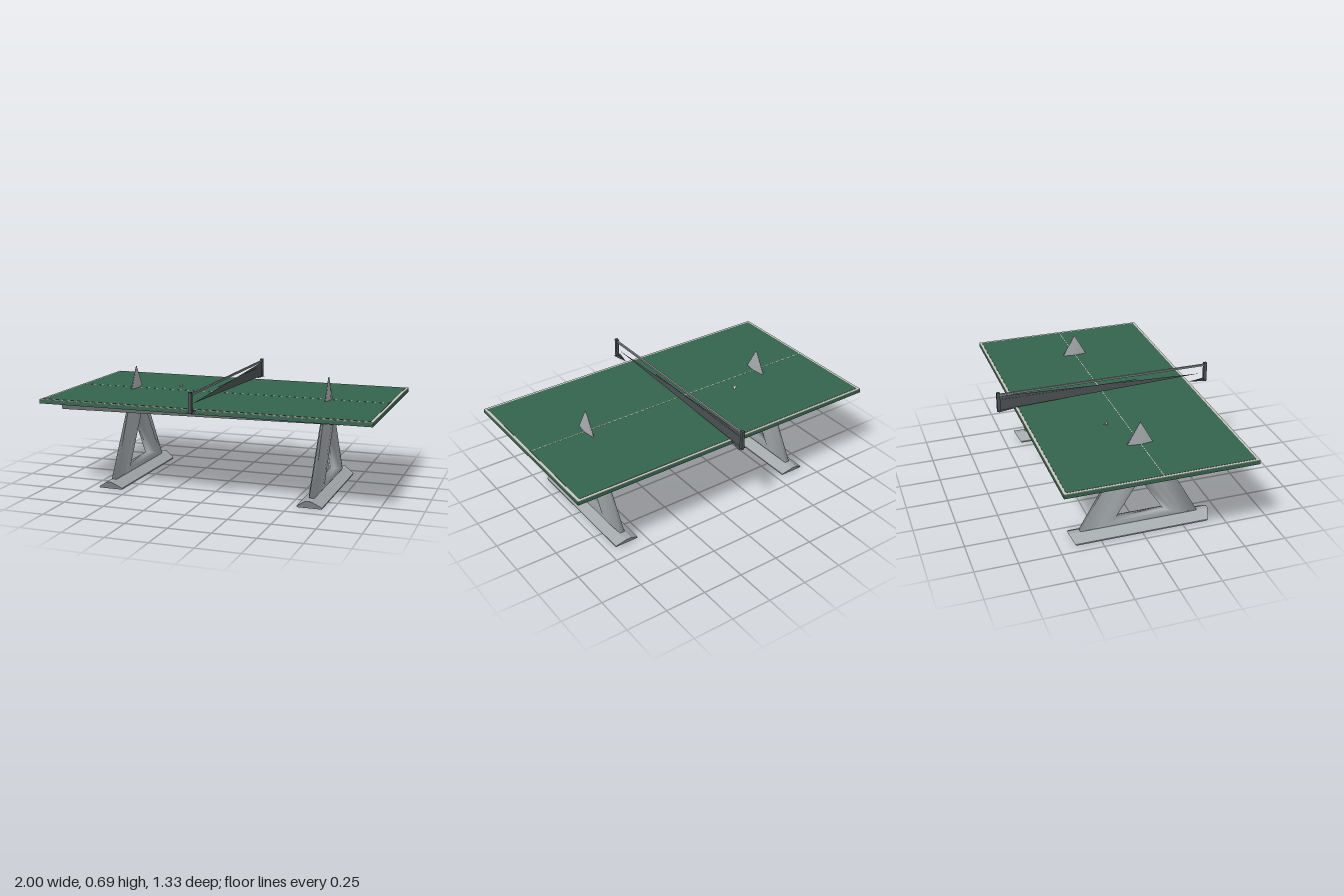
import * as THREE from 'three';

const mat = (name, color, side = THREE.FrontSide) => {
  const m = new THREE.MeshStandardMaterial({ color, side });
  m.name = name;
  return m;
};

// Flat triangle or polygon from a short list of [x, y, z] corners
function facet(points) {
  const g = new THREE.BufferGeometry();
  g.setAttribute('position', new THREE.Float32BufferAttribute(points.flat(), 3));
  g.setIndex(points.slice(2).flatMap((_, i) => [0, i + 1, i + 2]));
  g.computeVertexNormals();
  return g;
}

// Closed triangular frame: a lens-shaped section swept round three corners
function frameGeometry() {
  const corners = [
    { outer: [0.69, 0], inner: [0.33, 0], w: [0.003, 0.016, 0.033, 0.035, 0.012] },
    { outer: [0.045, 0.36], inner: [0.1, 0.145], w: [0.014, 0.032, 0.037, 0.036, 0.014] },
    { outer: [0.045, -0.36], inner: [0.1, -0.145], w: [0.014, 0.032, 0.037, 0.036, 0.014] },
  ];
  const us = [0, 0.36, 0.5, 0.75, 1];
  const pos = [], idx = [], n = us.length * 2;
  for (const { outer, inner, w } of corners) {
    for (let j = 0; j < n; j++) {
      const k = j < us.length ? j : n - 1 - j;
      const at = (c) => outer[c] + (inner[c] - outer[c]) * us[k];
      pos.push(j < us.length ? w[k] : -w[k], at(0), at(1));
    }
  }
  for (let i = 0; i < 3; i++) {
    for (let j = 0; j < n; j++) {
      const a = i * n + j, b = ((i + 1) % 3) * n + j;
      const c = ((i + 1) % 3) * n + (j + 1) % n, d = i * n + (j + 1) % n;
      idx.push(a, b, c, a, c, d);
    }
  }
  const g = new THREE.BufferGeometry();
  g.setAttribute('position', new THREE.Float32BufferAttribute(pos, 3));
  g.setIndex(idx);
  g.computeVertexNormals();
  return g;
}

// Foot bar: wide flat base rising to a narrow ridge with raked ends
function footGeometry() {
  const g = new THREE.BoxGeometry(2, 2, 2, 1, 2, 1);
  const layers = [[0, 0.073, 0.4], [0.01, 0.075, 0.405], [0.048, 0.016, 0.428]];
  const p = g.attributes.position;
  for (let i = 0; i < p.count; i++) {
    const [y, hx, hz] = layers[Math.round(p.getY(i)) + 1];
    p.setXYZ(i, p.getX(i) * hx, y, p.getZ(i) * hz);
  }
  const flat = g.toNonIndexed();
  flat.computeVertexNormals();
  return flat;
}

export function createModel() {
  const root = new THREE.Group();
  root.name = 'tableTennisTable';

  const green = mat('table green', 0x34644c);
  const white = mat('line white', 0xc9c5c0);
  const steel = mat('leg grey', 0xa2a7aa);
  const dark = mat('net dark grey', 0x4c5153, THREE.DoubleSide);
  const tapeGrey = mat('tape grey', 0x868a8c);
  const railGrey = mat('rail grey', 0x666b6b, THREE.DoubleSide);
  const black = mat('plate black', 0x1c1d1d, THREE.DoubleSide);

  const add = (name, geometry, material, parent = root) => {
    const m = new THREE.Mesh(geometry, material);
    m.name = name;
    parent.add(m);
    return m;
  };
  const box = (name, size, at, material, parent) => {
    const m = add(name, new THREE.BoxGeometry(...size), material, parent);
    m.position.set(...at);
    return m;
  };

  // Table top, white border, playing surface and centre line
  box('tableTop', [2, 0.022, 1.106], [0, 0.541, 0], green);
  box('borderLine', [2, 0.003, 1.106], [0, 0.5535, 0], white);
  box('playingSurface', [1.968, 0.002, 1.074], [0, 0.5555, 0], green);
  box('centreLine', [1.968, 0.001, 0.004], [0, 0.5568, 0], white);

  // Tapered rails under the long edges
  for (const z of [-0.48, 0.48]) {
    add('underRail', facet([[-0.89, 0.49, z], [0.82, 0.512, z], [-0.89, 0.531, z]]), railGrey);
  }

  // Two leg assemblies
  const frame = frameGeometry(), foot = footGeometry();
  for (const x of [-0.62, 0.62]) {
    const leg = new THREE.Group();
    leg.name = x > 0 ? 'leftLeg' : 'rightLeg';
    leg.position.x = x;
    add('legFrame', frame, steel, leg);
    add('legFoot', foot, steel, leg);
    add('mountingPlate',
      facet([[0, 0.526, -0.32], [0.07, 0.526, 0.32], [-0.07, 0.526, 0.32]]), black, leg);
    root.add(leg);
  }

  // Net: top tape and a tapering sheet
  const net = new THREE.Group();
  net.name = 'net';
  root.add(net);
  box('netTape', [0.012, 0.011, 1.31], [0, 0.66, 0], tapeGrey, net);
  add('netSheet', facet([[0, 0.605, 0.62], [0, 0.56, -0.65], [0, 0.652, -0.65]]), dark, net);
  box('netCord', [0.003, 0.002, 0.85], [0, 0.628, -0.22], dark, net);

  // Net posts with clamps reaching over the table edge
  for (const s of [-1, 1]) {
    box('netPost', [0.018, 0.12, 0.02], [0, 0.615, s * 0.655], dark, net);
    add('netClamp', facet([[-0.025, 0.559, s * 0.66], [0.025, 0.559, s * 0.66],
      [0, 0.559, s * 0.55]]), dark, net);
    add('clampWeb', facet([[0, 0.57, s * 0.65], [0, 0.557, s * 0.65], [0, 0.557, s * 0.55]]), dark, net);
  }

  // Small ball resting on the surface
  const ball = add('ball', new THREE.TetrahedronGeometry(0.016), white);
  ball.position.set(-0.365, 0.568, -0.115);

  return root;
}
